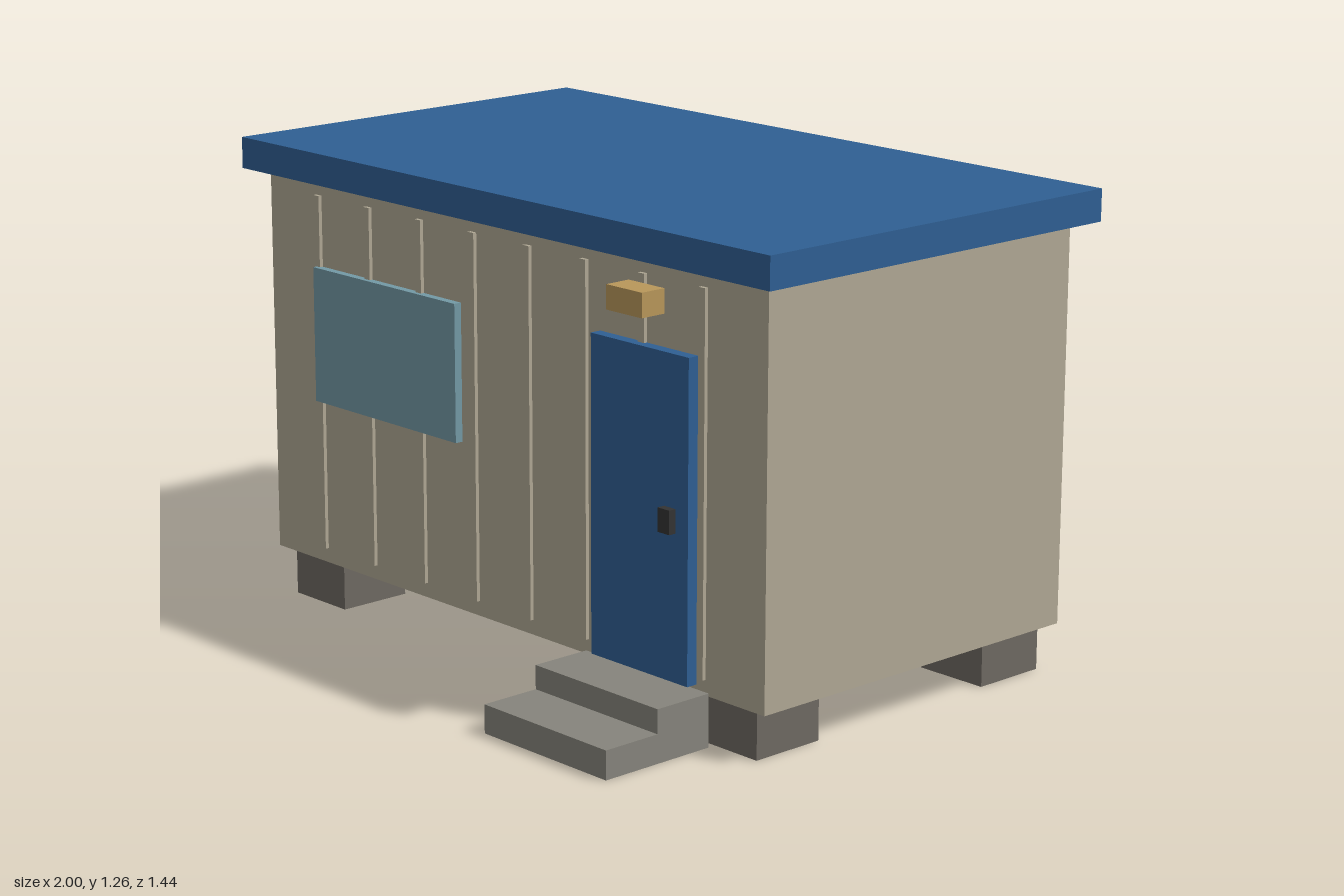
import * as THREE from 'three';

const material = (color) => new THREE.MeshStandardMaterial({ color });

export function createModel() {
  const cabin = new THREE.Group();
  cabin.name = 'cabin';

  const wall = material(0xb0a894);
  const blue = material(0x2f5f93);
  const glass = material(0x7399a5);
  const footing = material(0x6e6962);
  const concrete = material(0x86847c);
  const brass = material(0xb8975a);
  const dark = material(0x333333);

  // Box given by its extents along each axis
  const box = (name, mat, [x0, x1], [y0, y1], [z0, z1]) => {
    const mesh = new THREE.Mesh(new THREE.BoxGeometry(x1 - x0, y1 - y0, z1 - z0), mat);
    mesh.position.set((x0 + x1) / 2, (y0 + y1) / 2, (z0 + z1) / 2);
    mesh.name = name;
    cabin.add(mesh);
    return mesh;
  };

  const front = 0.386;

  // Main shell and overhanging flat roof
  box('body', wall, [-0.945, 0.945], [0.13, 1.18], [-0.666, front]);
  box('roof', blue, [-1, 1], [1.18, 1.264], [-0.718, 0.438]);

  // Four corner footings
  for (const x of [-0.794, 0.794]) {
    for (const z of [-0.539, 0.259]) {
      box('footing', footing, [x - 0.104, x + 0.104], [0, 0.13], [z - 0.105, z + 0.105]);
    }
  }

  // Vertical battens on the front wall
  for (let i = 0; i < 8; i++) {
    const x = -0.738 + i * 0.21;
    box('batten', wall, [x - 0.011, x + 0.011], [0.17, 1.138], [front, 0.396]);
  }

  // Front and left-hand windows
  box('frontWindow', glass, [-0.74, -0.16], [0.582, 0.947], [front, 0.408]);
  box('sideWindow', glass, [-0.968, -0.945], [0.582, 0.947], [-0.455, 0.07]);

  // Door, handle and lamp above it
  box('door', blue, [0.366, 0.711], [0.15, 0.968], [front, 0.417]);
  box('doorHandle', dark, [0.628, 0.668], [0.527, 0.588], [0.417, 0.438]);
  box('lamp', brass, [0.479, 0.604], [1.053, 1.115], [0.396, 0.469]);

  // Two entrance steps: side profile (depth, height) extruded across the width
  const profile = new THREE.Shape(
    [[0, 0], [0.334, 0], [0.334, 0.075], [0.168, 0.075], [0.168, 0.138], [0, 0.138]]
      .map(([x, y]) => new THREE.Vector2(x, y)));
  const steps = new THREE.Mesh(
    new THREE.ExtrudeGeometry(profile, { depth: 0.441, bevelEnabled: false }), concrete);
  steps.rotation.y = -Math.PI / 2;
  steps.position.set(0.754, 0, front);
  steps.name = 'steps';
  cabin.add(steps);

  return cabin;
}
